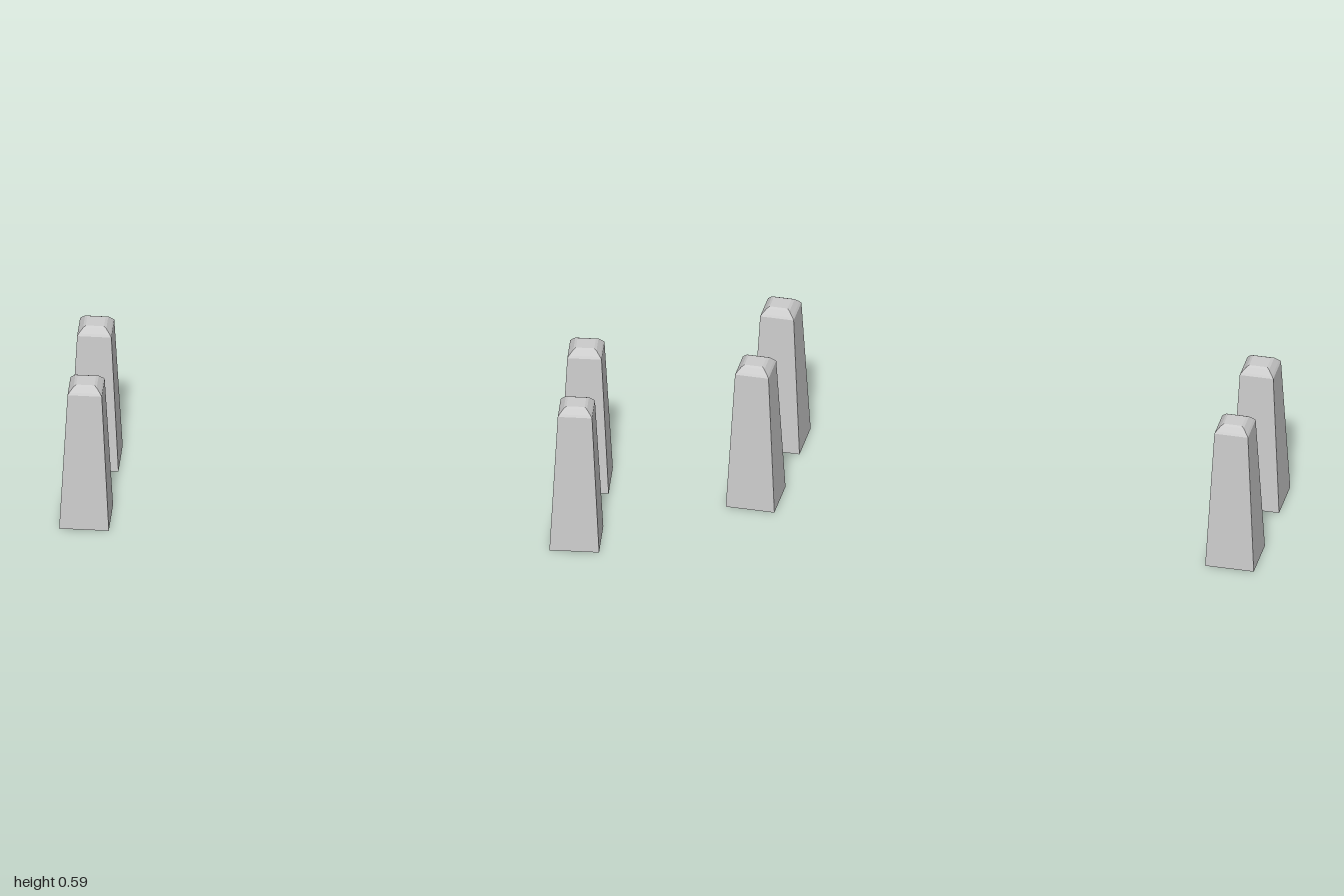
import * as THREE from 'three';

// Half-width and height of the square post, from the base centre to the top centre
const PROFILE = [
  [0, 0], [0.092, 0], [0.0635, 0.563], [0.058, 0.571],
  [0.043, 0.588], [0.034, 0.593], [0, 0.593],
];

// Post centres: the front left one stands slightly further back
const POSTS = [
  ['frontLeftPost', 0.908, 0.205],
  ['frontRightPost', -0.908, 0.208],
  ['backLeftPost', 0.908, -0.208],
  ['backRightPost', -0.908, -0.208],
];

export function createModel() {
  const group = new THREE.Group();
  group.name = 'taperedPosts';
  const material = new THREE.MeshStandardMaterial({ color: 0xcccccc, flatShading: true });

  // A four-sided lathe makes a tapered square post with a bevelled cap
  const points = PROFILE.map(([half, y]) => new THREE.Vector2(half * Math.SQRT2, y));
  const geometry = new THREE.LatheGeometry(points, 4, Math.PI / 4);

  for (const [name, x, z] of POSTS) {
    const post = new THREE.Mesh(geometry, material);
    post.name = name;
    post.position.set(x, 0, z);
    group.add(post);
  }
  return group;
}
